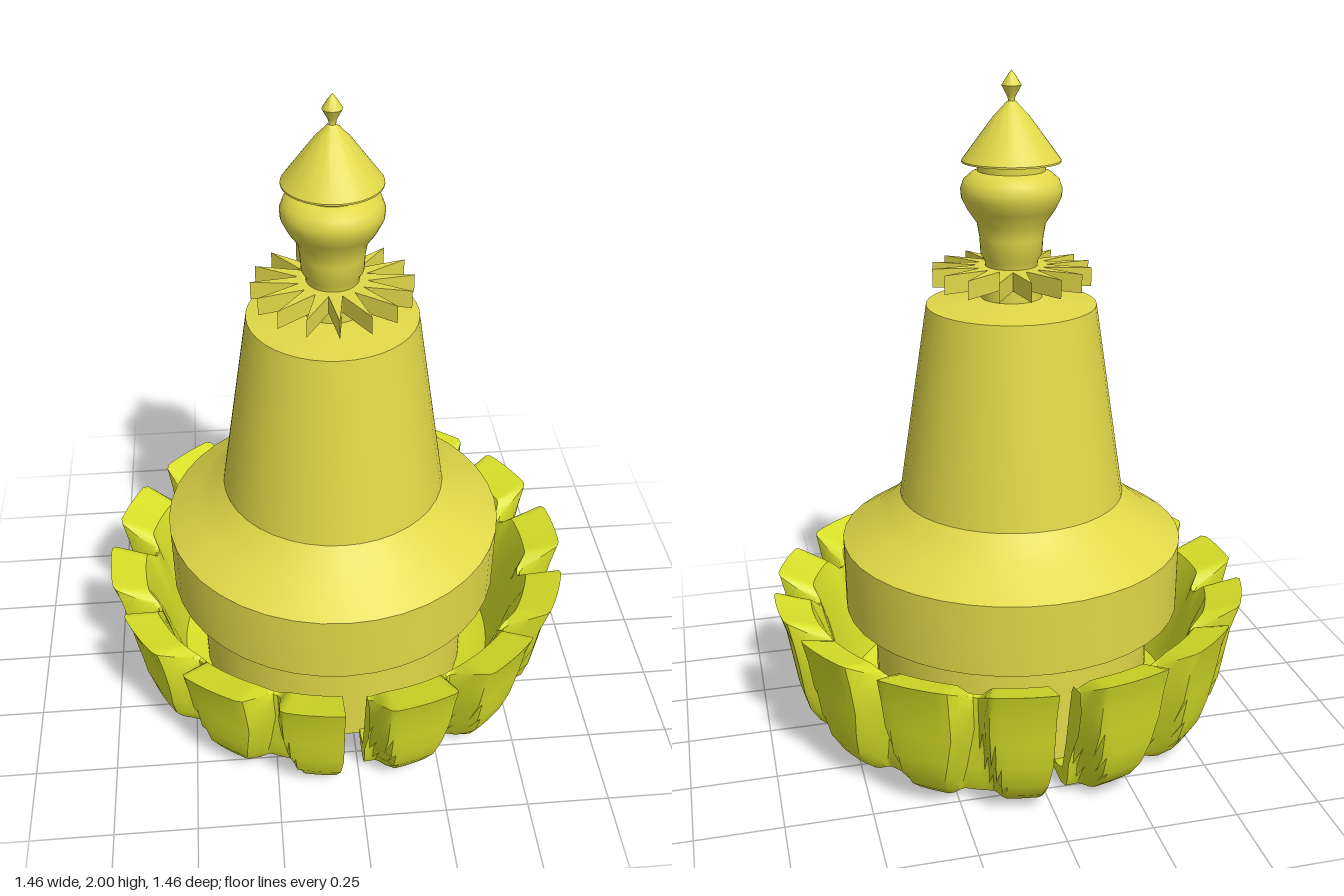
import * as THREE from 'three';
import { toCreasedNormals } from 'three/addons/utils/BufferGeometryUtils.js';

const gold = new THREE.MeshStandardMaterial({ color: 0xe0d848 });
const lime = new THREE.MeshStandardMaterial({ color: 0xd8e028, side: THREE.DoubleSide });

function lathe(name, profile, segments = 40) {
  const points = profile.map(([r, y]) => new THREE.Vector2(r, y));
  const mesh = new THREE.Mesh(toCreasedNormals(new THREE.LatheGeometry(points, segments), 0.6), gold);
  mesh.name = name;
  return mesh;
}

// Flat star collar with 16 thin spikes
function starCollar() {
  const shape = new THREE.Shape();
  for (let i = 0; i < 32; i++) {
    const r = i % 2 ? 0.1 : 0.235, a = (i * Math.PI) / 16;
    shape[i ? 'lineTo' : 'moveTo'](r * Math.cos(a), r * Math.sin(a));
  }
  shape.closePath();
  const geo = new THREE.ExtrudeGeometry(shape, { depth: 0.055, bevelEnabled: false });
  geo.rotateX(-Math.PI / 2);
  const mesh = new THREE.Mesh(geo, gold);
  mesh.name = 'starCollar';
  mesh.position.y = 1.39;
  return mesh;
}

// Lotus wall section: [valley r, valley y, petal r, petal y, petal half angle]
const SECTION = [
  [0, 0, 0, 0, 0.1],
  [0.5, 0.005, 0.52, 0.005, 0.1],
  [0.55, 0.025, 0.58, 0.02, 0.08],
  [0.565, 0.06, 0.625, 0.06, 0.08],
  [0.572, 0.11, 0.655, 0.11, 0.1],
  [0.58, 0.18, 0.675, 0.18, 0.125],
  [0.588, 0.25, 0.69, 0.27, 0.145],
  [0.595, 0.31, 0.705, 0.36, 0.15],
  [0.602, 0.36, 0.73, 0.44, 0.135],
  [0.592, 0.365, 0.62, 0.405, 0.135],
  [0.57, 0.28, 0.58, 0.3, 0.13],
  [0.545, 0.17, 0.545, 0.17, 0.13],
  [0.51, 0.06, 0.51, 0.06, 0.13],
  [0.45, 0.035, 0.45, 0.035, 0.13],
  [0, 0.03, 0, 0.03, 0.1],
];
const GAP = 0.037, STEP = Math.PI / 7, FIRST = 0.168;

// Half of the lotus base: seven petals, cut flat along the slot
function lotusHalf() {
  const columns = 140, rows = SECTION.length;
  const positions = [], index = [], ends = [[], []];
  for (let i = 0; i <= columns; i++) {
    const angle = (i / columns) * Math.PI;
    const offset = angle - FIRST - STEP * Math.round((angle - FIRST) / STEP);
    SECTION.forEach(([vr, vy, pr, py, half], j) => {
      const bump = 1 - THREE.MathUtils.smoothstep(Math.abs(offset), half, half + 0.07);
      const r = THREE.MathUtils.lerp(vr, pr, bump);
      const y = THREE.MathUtils.lerp(vy, py, bump);
      positions.push(Math.max(GAP, r * Math.sin(angle)), y, -r * Math.cos(angle));
      if (i === 0) ends[0].push(new THREE.Vector2(r, y));
      if (i === columns) ends[1].push(new THREE.Vector2(r, y));
      if (i < columns && j < rows - 1) {
        const a = i * rows + j, b = a + rows;
        index.push(a, a + 1, b, b, a + 1, b + 1);
      }
    });
  }
  // Flat end walls facing the slot
  ends.forEach((contour, side) => {
    const base = side ? columns * rows : 0;
    for (const [a, b, c] of THREE.ShapeUtils.triangulateShape(contour, [])) {
      if (side) index.push(base + a, base + c, base + b);
      else index.push(base + a, base + b, base + c);
    }
  });
  const geo = new THREE.BufferGeometry();
  geo.setAttribute('position', new THREE.Float32BufferAttribute(positions, 3));
  geo.setIndex(index);
  return toCreasedNormals(geo, 0.65);
}

export function createModel() {
  const model = new THREE.Group();
  model.name = 'bellOnLotusBase';
  const tower = new THREE.Group();
  tower.name = 'tower';
  tower.position.set(-0.03, 0, 0.015);
  model.add(tower);

  // Bell body with the core that sits inside the lotus
  tower.add(lathe('bellBody', [
    [0, 0.02], [0.43, 0.02], [0.43, 0.37], [0.5, 0.37], [0.52, 0.38], [0.522, 0.6],
    [0.43, 0.66], [0.385, 0.695], [0.342, 0.74], [0.252, 1.33], [0.09, 1.35], [0.09, 1.4],
  ]));
  tower.add(starCollar());

  // Urn, canopy and finial
  tower.add(lathe('urn', [
    [0.075, 1.43], [0.078, 1.46], [0.09, 1.48], [0.093, 1.53], [0.1, 1.57], [0.128, 1.61],
    [0.145, 1.645], [0.147, 1.67], [0.138, 1.695], [0.115, 1.715], [0.098, 1.72], [0.098, 1.75],
  ]));
  tower.add(lathe('canopy', [
    [0, 1.745], [0.143, 1.745], [0.143, 1.75], [0.05, 1.875], [0.035, 1.89], [0.012, 1.915],
  ]));
  tower.add(lathe('finial', [[0.01, 1.91], [0.011, 1.925], [0.029, 1.958], [0.012, 1.985], [0, 2]], 12));

  // Two mirrored-by-rotation halves of the lotus
  const halfGeometry = lotusHalf();
  for (const [name, turn] of [['lotusHalfLeft', 0], ['lotusHalfRight', Math.PI]]) {
    const half = new THREE.Mesh(halfGeometry, lime);
    half.name = name;
    half.rotation.y = turn;
    half.position.x = 0.01;
    tower.add(half);
  }
  return model;
}
